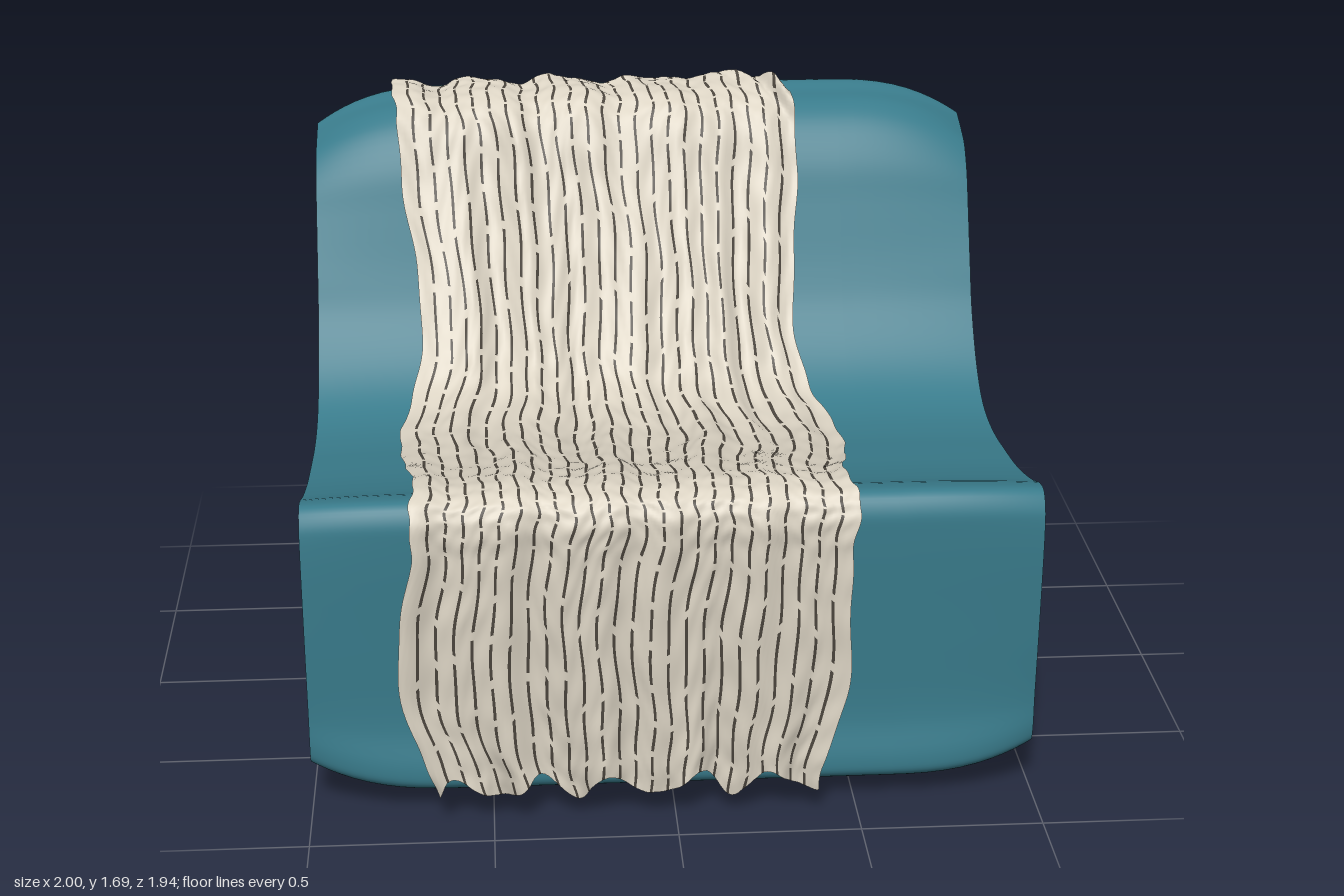
import * as THREE from 'three';

const teal = new THREE.MeshStandardMaterial({ color: 0x397b8b });
teal.name = 'teal upholstery';
const cream = new THREE.MeshStandardMaterial({ color: 0xdcd4c4, side: THREE.DoubleSide });
cream.name = 'cream cloth';
const dark = new THREE.MeshStandardMaterial({ color: 0x4b453d, side: THREE.DoubleSide });
dark.name = 'dark stripe';

const smooth = THREE.MathUtils.smoothstep;

// Grid surface; isDark(col, row) puts a cell into the second material group.
function grid(cols, rows, point, flip, isDark = () => false) {
  const pos = [], light = [], stripe = [];
  for (let j = 0; j <= rows; j++)
    for (let i = 0; i <= cols; i++) pos.push(...point(i, j));
  for (let j = 0; j < rows; j++) {
    for (let i = 0; i < cols; i++) {
      const a = j * (cols + 1) + i, b = a + 1, d = a + cols + 1, c = d + 1;
      const list = isDark(i, j) ? stripe : light;
      list.push(...(flip ? [a, c, b, a, d, c] : [a, b, c, a, c, d]));
    }
  }
  const g = new THREE.BufferGeometry();
  g.setAttribute('position', new THREE.Float32BufferAttribute(pos, 3));
  g.setIndex([...light, ...stripe]);
  g.addGroup(0, light.length, 0);
  if (stripe.length) g.addGroup(light.length, stripe.length, 1);
  g.computeVertexNormals();
  return g;
}

// Seat outline: z, y in the middle, then the change of z, y at the sides.
const outline = [
  [0, 0.04, 0, 0.09], [-0.4, 0.045, 0, 0.08], [-0.7, 0.035, 0, 0.09], [-0.82, 0.01, 0.04, 0.11],
  [-0.9, 0, 0.06, 0.1], [-0.94, 0.06, 0.08, 0.1], [-0.97, 0.35, 0.1, 0.05], [-0.98, 0.8, 0.1, 0],
  [-0.968, 1.2, 0.095, -0.05], [-0.945, 1.5, 0.09, -0.08], [-0.92, 1.58, 0.075, -0.1],
  [-0.87, 1.605, 0.05, -0.1], [-0.8, 1.59, 0.02, -0.095], [-0.72, 1.575, 0, -0.1],
  [-0.65, 1.53, -0.01, -0.08], [-0.58, 1.43, -0.015, -0.05], [-0.53, 1.3, -0.015, -0.02],
  [-0.46, 1.12, -0.01, 0], [-0.4, 1, -0.01, 0], [-0.3, 0.88, 0, -0.01], [-0.2, 0.81, 0, -0.01],
  [-0.1, 0.78, 0, -0.01], [0.05, 0.775, 0, -0.01], [0.2, 0.79, 0, -0.01], [0.4, 0.817, 0, -0.01],
  [0.6, 0.863, 0, -0.01], [0.74, 0.908, -0.01, -0.015], [0.81, 0.912, -0.03, -0.02],
  [0.84, 0.87, -0.03, -0.015], [0.845, 0.8, -0.025, 0], [0.835, 0.5, -0.02, 0],
  [0.83, 0.25, -0.025, 0.03], [0.85, 0.13, -0.045, 0.06], [0.845, 0.085, -0.05, 0.065],
  [0.81, 0.058, -0.04, 0.075], [0.73, 0.05, -0.02, 0.08], [0.4, 0.045, 0, 0.085],
];

function buildSeat() {
  const group = new THREE.Group();
  group.name = 'armlessChair';
  const section = (f) => new THREE.CatmullRomCurve3(
    outline.map(([z, y, dz, dy]) => new THREE.Vector3(0, y + dy * f, z + dz * f)), true).getPoints(180);
  // Sections across the width, closer together at the rounded sides
  const half = [0.3, 0.6];
  for (let i = 1; i <= 12; i++) half.push(0.6 + 0.4 * Math.sin(i / 12 * Math.PI / 2));
  const xs = [...half.map((x) => -x).reverse(), 0, ...half];
  const sections = xs.map((x) => section(Math.pow(Math.max(0, (Math.abs(x) - 0.6) / 0.4), 2.6)));
  const shell = new THREE.Mesh(grid(xs.length - 1, 180, (i, j) => {
    const p = sections[i][j];
    return [xs[i], p.y, p.z];
  }, true), teal);
  shell.name = 'seatShell';
  group.add(shell);
  // Flat side faces
  for (const s of [1, -1]) {
    const shape = new THREE.Shape(sections[0].slice(0, -1).map((p) => new THREE.Vector2(-s * p.z, p.y)));
    const side = new THREE.Mesh(new THREE.ShapeGeometry(shape).rotateY(s * Math.PI / 2), teal);
    side.position.x = s;
    side.name = s > 0 ? 'leftSide' : 'rightSide';
    group.add(side);
  }
  return group;
}

// Blanket path from front hem to top edge: z, y, x at each edge, fold depth
const drape = [
  [0.905, 0.05, -0.64, 0.385, 0.028], [0.912, 0.18, -0.68, 0.41, 0.026], [0.92, 0.36, -0.73, 0.455, 0.02],
  [0.93, 0.6, -0.74, 0.46, 0.018], [0.935, 0.8, -0.71, 0.47, 0.016], [0.935, 0.9, -0.7, 0.48, 0.014],
  [0.905, 0.95, -0.7, 0.475, 0.008], [0.83, 0.968, -0.7, 0.47, 0.008], [0.7, 0.95, -0.7, 0.465, 0.01],
  [0.5, 0.905, -0.72, 0.49, 0.016], [0.3, 0.87, -0.745, 0.52, 0.02], [0.1, 0.85, -0.745, 0.51, 0.02],
  [-0.08, 0.878, -0.71, 0.46, 0.022], [-0.2, 0.99, -0.69, 0.435, 0.025], [-0.35, 1.2, -0.7, 0.445, 0.025],
  [-0.48, 1.4, -0.73, 0.455, 0.02], [-0.57, 1.57, -0.75, 0.46, 0.014], [-0.64, 1.625, -0.76, 0.46, 0.012],
  [-0.73, 1.64, -0.76, 0.44, 0.014], [-0.8, 1.645, -0.76, 0.42, 0.016],
];

function buildBlanket() {
  const edge = (k) => new THREE.CatmullRomCurve3(drape.map((d) => new THREE.Vector3(d[k], d[1], d[0])));
  const rightEdge = edge(2), leftEdge = edge(3);
  const depth = (t) => {
    const s = t * (drape.length - 1), i = Math.min(Math.floor(s), drape.length - 2);
    return THREE.MathUtils.lerp(drape[i][4], drape[i + 1][4], s - i);
  };

  // Columns: cream bands parted by narrow dark lines
  const us = [0], stripeCols = new Set(), bands = 25, line = 0.0065;
  for (let b = 0; b < bands; b++) {
    const start = us[us.length - 1], end = (b + 1) / bands - line / 2;
    for (let k = 1; k <= 4; k++) us.push(b === bands - 1 && k === 4 ? 1 : start + (end - start) * k / 4);
    if (b < bands - 1) { stripeCols.add(us.length - 1); us.push(end + line); }
  }

  const rows = 170;
  const point = (i, j) => {
    const u = us[i], v = j / rows;
    // Scalloped hem, wavy top edge and a dropped corner
    const hem = 0.006 + 0.03 * Math.pow(Math.sin(u * 15.5 + 0.6), 2) + 0.005 * Math.sin(u * 47);
    const top = 1 - 0.012 * (1 + Math.sin(u * 25)) - 0.1 * smooth(u, 0.84, 1);
    const t = THREE.MathUtils.lerp(hem, top, v);
    const p = rightEdge.getPoint(t).lerp(leftEdge.getPoint(t), u);
    const tan = rightEdge.getTangent(t);
    const len = Math.hypot(tan.y, tan.z);
    // Lengthwise folds, fine puckers and a bunched corner
    const folds = 0.55 * Math.sin(u * 31 + 2.2 * Math.sin(t * 7)) + 0.3 * Math.sin(u * 57 - 3 * t + 1.4)
      + 0.25 * Math.sin(u * 14 + 9 * t);
    const pucker = 0.0025 * Math.sin(t * 160 + 5 * Math.sin(u * 23)) * Math.sin(u * 80 + t * 20);
    const bunch = smooth(u, 0.8, 0.95) * smooth(v, 0.93, 1) * (0.035 + 0.02 * Math.sin(u * 70 + v * 60));
    const ridge = 0.03 * smooth(t, 0.5, 0.65) * (1 - smooth(t, 0.8, 0.92))
      * (Math.exp(-Math.pow((u - 0.8) / 0.03, 2)) + Math.exp(-Math.pow((u - 0.3) / 0.03, 2)));
    const off = folds * depth(t) + pucker + bunch + ridge;
    const sway = 0.006 * Math.sin(t * 38 + u * 9) + 0.003 * Math.sin(t * 95 + u * 21);
    return [p.x + sway, p.y - tan.z / len * off, p.z + tan.y / len * off];
  };
  // Dashes: every third line is more broken than the others
  const isDark = (i, j) => stripeCols.has(i) && (j + i * 3) % (i % 3 ? 9 : 5) > 0;
  const blanket = new THREE.Mesh(grid(us.length - 1, rows, point, false, isDark), [cream, dark]);
  blanket.name = 'stripedBlanket';
  return blanket;
}

export function createModel() {
  const model = new THREE.Group();
  model.name = 'chairWithBlanket';
  model.add(buildSeat(), buildBlanket());
  return model;
}
